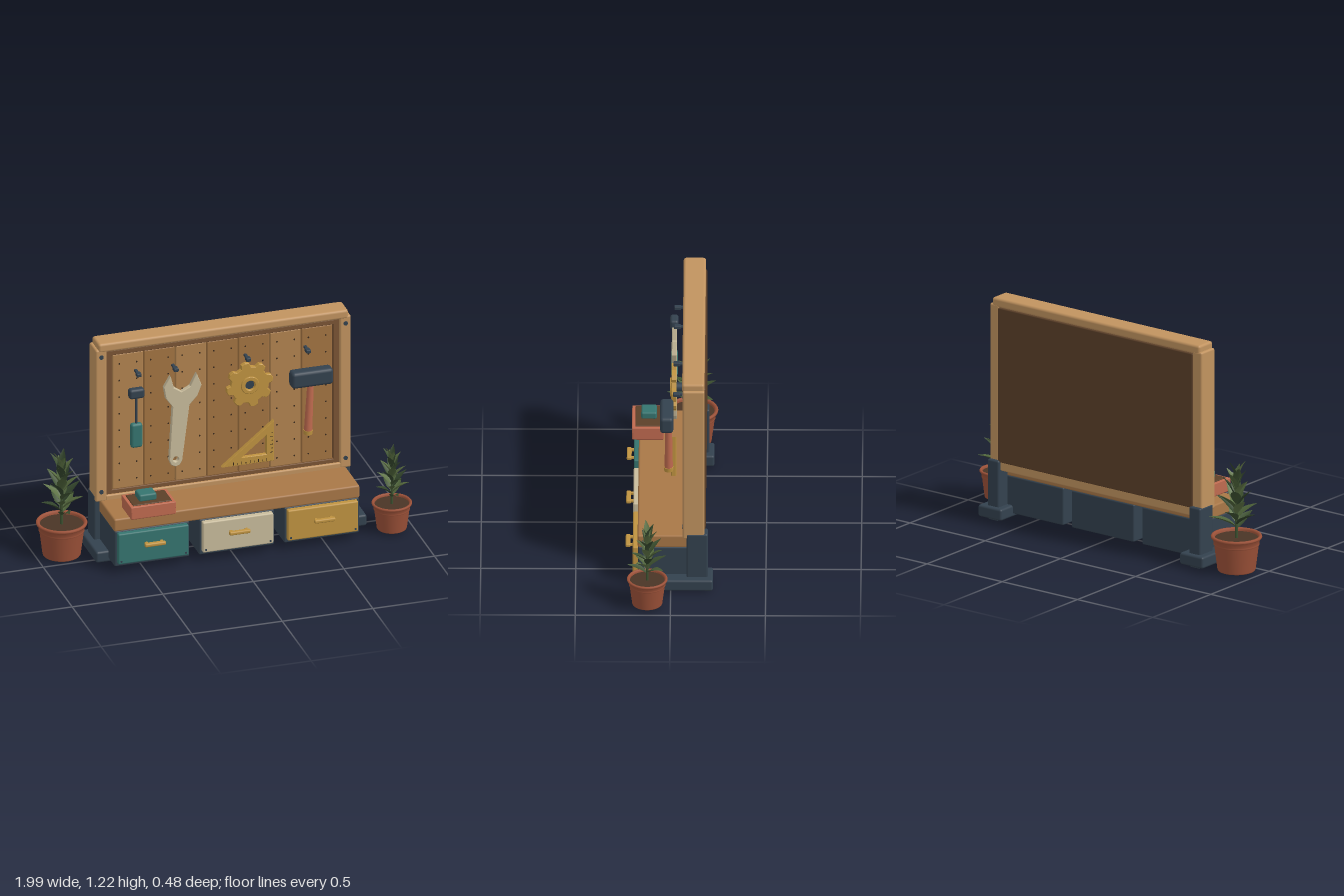
import * as THREE from 'three';
import { RoundedBoxGeometry } from 'three/addons/geometries/RoundedBoxGeometry.js';
import { mergeGeometries } from 'three/addons/utils/BufferGeometryUtils.js';

const mat = (color, side = THREE.FrontSide) => new THREE.MeshStandardMaterial({ color, side });
const M = {
  frame: mat(0xc1935f), bench: mat(0xa87747), plankA: mat(0xb1834f), plankB: mat(0xa37442),
  back: mat(0x5c4029), trim: mat(0x7a5434), dark: mat(0x33414e), teal: mat(0x35746f),
  cream: mat(0xc8bb9b), gold: mat(0xbf9340), red: mat(0xbf6a4f), hole: mat(0x3a2a1c),
  pot: mat(0x9c5138), soil: mat(0x4a3526),
  leaves: [0x3d5130, 0x4c6138, 0x31432a, 0x5c7143].map((c) => mat(c, THREE.DoubleSide)),
};
const CX = 0.015; // centre line of the bench and board

function add(parent, name, geometry, material, x = 0, y = 0, z = 0) {
  const mesh = new THREE.Mesh(geometry, material);
  mesh.name = name;
  mesh.position.set(x, y, z);
  parent.add(mesh);
  return mesh;
}

// Rounded box given by its minimum and maximum on each axis
function box(parent, name, material, [x0, x1], [y0, y1], [z0, z1], r = 0.008) {
  const w = x1 - x0, h = y1 - y0, d = z1 - z0;
  const geo = new RoundedBoxGeometry(w, h, d, 2, Math.min(r, w * 0.45, h * 0.45, d * 0.45));
  return add(parent, name, geo, material, (x0 + x1) / 2, (y0 + y1) / 2, (z0 + z1) / 2);
}

function group(parent, name, x = 0, y = 0, z = 0) {
  const g = new THREE.Group();
  g.name = name;
  g.position.set(x, y, z);
  parent.add(g);
  return g;
}

const poly = (pts) => pts.map(([x, y]) => new THREE.Vector2(x, y));
const circleHole = (x, y, r) => new THREE.Path().absarc(x, y, r, 0, Math.PI * 2, true);

// Flat cut-out plate from z = -0.027 to z = 0
function plate(shape) {
  const b = 0.003;
  return new THREE.ExtrudeGeometry(shape, {
    depth: 0.021, bevelEnabled: true, bevelThickness: b, bevelSize: b, bevelOffset: -b, bevelSegments: 1, curveSegments: 16,
  }).translate(0, 0, -0.024);
}

const disc = (r, depth, seg = 16) => new THREE.CylinderGeometry(r, r, depth, seg).rotateX(Math.PI / 2);

function buildBoard(root) {
  const g = group(root, 'toolBoard');
  for (const s of [-1, 1]) {
    const inner = CX + s * 0.643, outer = CX + s * 0.705;
    box(g, 'framePost', M.frame, [Math.min(inner, outer), Math.max(inner, outer)], [0.305, 1.192], [-0.178, -0.063], 0.01);
    for (const y of [0.363, 1.15]) add(g, 'frameScrew', disc(0.012, 0.006), M.dark, CX + s * 0.674, y, -0.062);
  }
  box(g, 'topRail', M.frame, [CX - 0.69, CX + 0.69], [1.175, 1.227], [-0.178, -0.06], 0.014);
  box(g, 'bottomRail', M.frame, [CX - 0.65, CX + 0.65], [0.278, 0.338], [-0.178, -0.063]);
  box(g, 'backPanel', M.back, [CX - 0.646, CX + 0.646], [0.325, 1.178], [-0.184, -0.1], 0.006);

  // Thin trim around the planks
  for (const s of [-1, 1]) {
    box(g, 'sideTrim', M.trim, [CX + s * 0.628 - 0.017, CX + s * 0.628 + 0.017], [0.335, 1.175], [-0.11, -0.075], 0.004);
    const y = s > 0 ? 1.16 : 0.347;
    box(g, 'edgeTrim', M.trim, [CX - 0.64, CX + 0.64], [y - 0.014, y + 0.014], [-0.11, -0.075], 0.004);
  }

  // Planks with peg holes
  const pitch = 0.174, holes = [];
  for (let i = 0; i < 7; i++) {
    const x = CX + (i - 3) * pitch;
    const m = [M.plankA, M.plankB, M.plankA, M.plankB, M.plankB, M.plankA, M.plankB][i];
    box(g, 'plank', m, [x - 0.084, x + 0.084], [0.36, 1.145], [-0.11, -0.08], 0.005);
    for (const dx of [-0.048, 0.048]) {
      for (let j = 0; j < 8; j++) holes.push(new THREE.CircleGeometry(0.005, 8).translate(x + dx, 0.41 + j * 0.097, -0.0792));
    }
  }
  add(g, 'pegHoles', mergeGeometries(holes), M.hole);

  // Hooks
  for (const x of [-0.465, -0.26, 0.14, 0.47]) {
    box(g, 'hookPeg', M.dark, [x - 0.008, x + 0.008], [1.032, 1.046], [-0.09, -0.02], 0.003);
    box(g, 'hookHead', M.dark, [x - 0.013, x + 0.013], [1.028, 1.048], [-0.047, -0.012], 0.004);
  }
}

function buildTools(root) {
  const g = group(root, 'hangingTools');

  // Wrench
  const wrench = new THREE.Shape(poly([
    [-0.296, 1.013], [-0.333, 0.95], [-0.322, 0.885], [-0.285, 0.832], [-0.303, 0.52], [-0.292, 0.493], [-0.268, 0.482],
    [-0.245, 0.49], [-0.232, 0.515], [-0.192, 0.832], [-0.148, 0.88], [-0.125, 0.94], [-0.152, 1.01],
    [-0.187, 0.94], [-0.235, 0.915], [-0.278, 0.945],
  ]));
  wrench.holes.push(circleHole(-0.267, 0.525, 0.015));
  add(g, 'wrench', plate(wrench), M.cream);

  // Gear: eight tapered teeth around a hub
  const gear = group(g, 'gear', 0.141, 0.899, 0);
  const pts = [];
  for (let i = 0; i < 8; i++) {
    for (const [da, r] of [[-0.26, 0.105], [-0.17, 0.126], [0, 0.131], [0.17, 0.126], [0.26, 0.105]]) {
      const a = (i * Math.PI) / 4 + 0.2 + da;
      pts.push([r * Math.cos(a), r * Math.sin(a)]);
    }
  }
  const gearShape = new THREE.Shape(poly(pts));
  gearShape.holes.push(circleHole(0, 0, 0.04));
  add(gear, 'gearWheel', plate(gearShape), M.gold);
  const hub = new THREE.Shape().absarc(0, 0, 0.05, 0, Math.PI * 2);
  hub.holes.push(circleHole(0, 0, 0.027));
  add(gear, 'gearHub', plate(hub), M.gold, 0, 0, 0.008);
  add(gear, 'gearPin', disc(0.025, 0.07, 20), M.dark, 0, 0, -0.04);

  // Set square with scale marks
  const square = new THREE.Shape(poly([[-0.013, 0.437], [0.275, 0.437], [0.275, 0.672]]));
  square.holes.push(new THREE.Path(poly([[0.095, 0.48], [0.233, 0.592], [0.233, 0.48]])));
  add(g, 'setSquare', plate(square), M.gold);
  for (let i = 0; i < 9; i++) {
    const len = i % 2 ? 0.01 : 0.016;
    add(g, 'scaleMark', new THREE.BoxGeometry(0.003, len, 0.002), M.hole, 0.05 + i * 0.023, 0.443 + len / 2, 0.0005);
    if (i < 6) add(g, 'scaleMark', new THREE.BoxGeometry(len, 0.003, 0.002), M.hole, 0.269 - len / 2, 0.49 + i * 0.023, 0.0005);
  }

  // Mallet
  const mallet = group(g, 'mallet', 0.472, 0.9, 0.012);
  box(mallet, 'malletHead', M.dark, [-0.115, 0.115], [-0.037, 0.055], [-0.025, 0.045], 0.018);
  const shaft = group(mallet, 'malletShaft', 0, -0.03, 0);
  shaft.rotation.z = -0.05;
  add(shaft, 'malletHandle', new THREE.CylinderGeometry(0.017, 0.022, 0.28, 16), M.red, 0, -0.135, 0);
  add(shaft, 'malletEndCap', new THREE.CylinderGeometry(0.025, 0.024, 0.022, 16), M.gold, 0, -0.285, 0);

  // Small hammer
  const s = group(g, 'smallHammer', -0.483, 0, -0.012);
  box(s, 'smallHammerHead', M.dark, [-0.042, 0.042], [0.912, 0.968], [-0.022, 0.022], 0.014);
  add(s, 'smallHammerRod', new THREE.CylinderGeometry(0.006, 0.006, 0.17, 10), M.dark, 0, 0.835, 0);
  box(s, 'smallHammerGrip', M.teal, [-0.032, 0.032], [0.625, 0.765], [-0.018, 0.018], 0.014);
}

function buildBench(root) {
  const g = group(root, 'bench');
  box(g, 'benchTop', M.bench, [-0.664, 0.692], [0.238, 0.311], [-0.12, 0.174], 0.01);

  // Drawer cabinets
  [[-0.454, M.teal], [0.013, M.cream], [0.482, M.gold]].forEach(([x, m]) => {
    const d = group(g, 'drawerUnit', x);
    box(d, 'cabinet', M.dark, [-0.207, 0.207], [0.034, 0.24], [-0.12, 0.172]);
    box(d, 'drawerFront', m, [-0.195, 0.195], [0.056, 0.233], [0.16, 0.2]);
    box(d, 'drawerHandle', M.gold, [-0.058, 0.058], [0.153, 0.173], [0.212, 0.238], 0.007);
    for (const s of [-1, 1]) {
      box(d, 'handleMount', M.gold, [s * 0.042 - 0.008, s * 0.042 + 0.008], [0.156, 0.17], [0.195, 0.22], 0.003);
      add(d, 'drawerScrew', disc(0.006, 0.004, 10), M.dark, s * 0.178, 0.073, 0.2);
    }
  });

  // Legs and feet
  for (const s of [-1, 1]) {
    const l = group(g, 'leg', CX + s * 0.67);
    box(l, 'legPost', M.dark, [-0.038, 0.038], [0.02, 0.335], [-0.196, -0.083], 0.01);
    box(l, 'foot', M.dark, [-0.075, 0.08], [0.016, 0.08], [-0.222, 0.07], 0.012);
    box(l, 'footPad', M.dark, [-0.03, 0.03], [0.003, 0.025], [-0.195, -0.1], 0.004);
  }

  // Tray with an inlay and a block
  const t = group(g, 'tray');
  box(t, 'trayBase', M.red, [-0.582, -0.333], [0.311, 0.37], [0.042, 0.21]);
  for (const z of [0.052, 0.2]) box(t, 'trayRim', M.red, [-0.582, -0.333], [0.35, 0.384], [z - 0.01, z + 0.01], 0.004);
  for (const x of [-0.572, -0.343]) box(t, 'trayRim', M.red, [x - 0.01, x + 0.01], [0.35, 0.384], [0.042, 0.21], 0.004);
  box(t, 'trayInlay', M.back, [-0.565, -0.35], [0.36, 0.389], [0.06, 0.192], 0.004);
  box(t, 'trayBlock', M.teal, [-0.521, -0.424], [0.385, 0.426], [0.08, 0.162], 0.01);
}

// Pointed leaf growing along +y, folded on its midrib and curling outward
function leafGeometry(length, width) {
  const geo = new THREE.PlaneGeometry(1, 1, 2, 7);
  const p = geo.attributes.position;
  for (let i = 0; i < p.count; i++) {
    const v = p.getY(i) + 0.5;
    const x = p.getX(i) * width * Math.max(0.03, Math.sin(Math.PI * Math.pow(v, 0.85)));
    p.setXYZ(i, x, v * length, length * 0.22 * v * v - Math.abs(x) * 0.45);
  }
  geo.computeVertexNormals();
  return geo;
}

function buildPlant(root, x, z, scale) {
  const g = group(root, 'pottedPlant', x, 0.012, z);
  g.scale.setScalar(scale);
  const profile = [[0, 0], [0.097, 0], [0.101, 0.006], [0.118, 0.14], [0.122, 0.143], [0.122, 0.15], [0.121, 0.153],
    [0.126, 0.176], [0.134, 0.179], [0.136, 0.186], [0.132, 0.193], [0.122, 0.193], [0.116, 0.184], [0.114, 0.16]];
  add(g, 'pot', new THREE.LatheGeometry(poly(profile), 32), M.pot);
  add(g, 'soil', new THREE.CylinderGeometry(0.117, 0.114, 0.01, 28), M.soil, 0, 0.172, 0);
  add(g, 'stem', new THREE.CylinderGeometry(0.005, 0.009, 0.32, 8), M.leaves[0], 0, 0.33, 0);
  const count = 24;
  for (let i = 0; i < count; i++) {
    const t = i / (count - 1);
    const leaf = add(g, 'leaf', leafGeometry(0.15 - 0.02 * t + 0.012 * Math.sin(i * 2.3), 0.062 - 0.014 * t),
      M.leaves[i % 4], 0, 0.225 + 0.255 * t, 0);
    leaf.rotation.order = 'YXZ';
    leaf.rotation.y = i * 2.4;
    leaf.rotation.x = 0.88 - 0.8 * t + 0.1 * Math.sin(i * 1.7);
  }
}

export function createModel() {
  const root = new THREE.Group();
  root.name = 'toolWallBench';
  buildBoard(root);
  buildTools(root);
  buildBench(root);
  buildPlant(root, -0.865, -0.105, 1);
  buildPlant(root, 0.885, 0.122, 0.79);
  return root;
}
